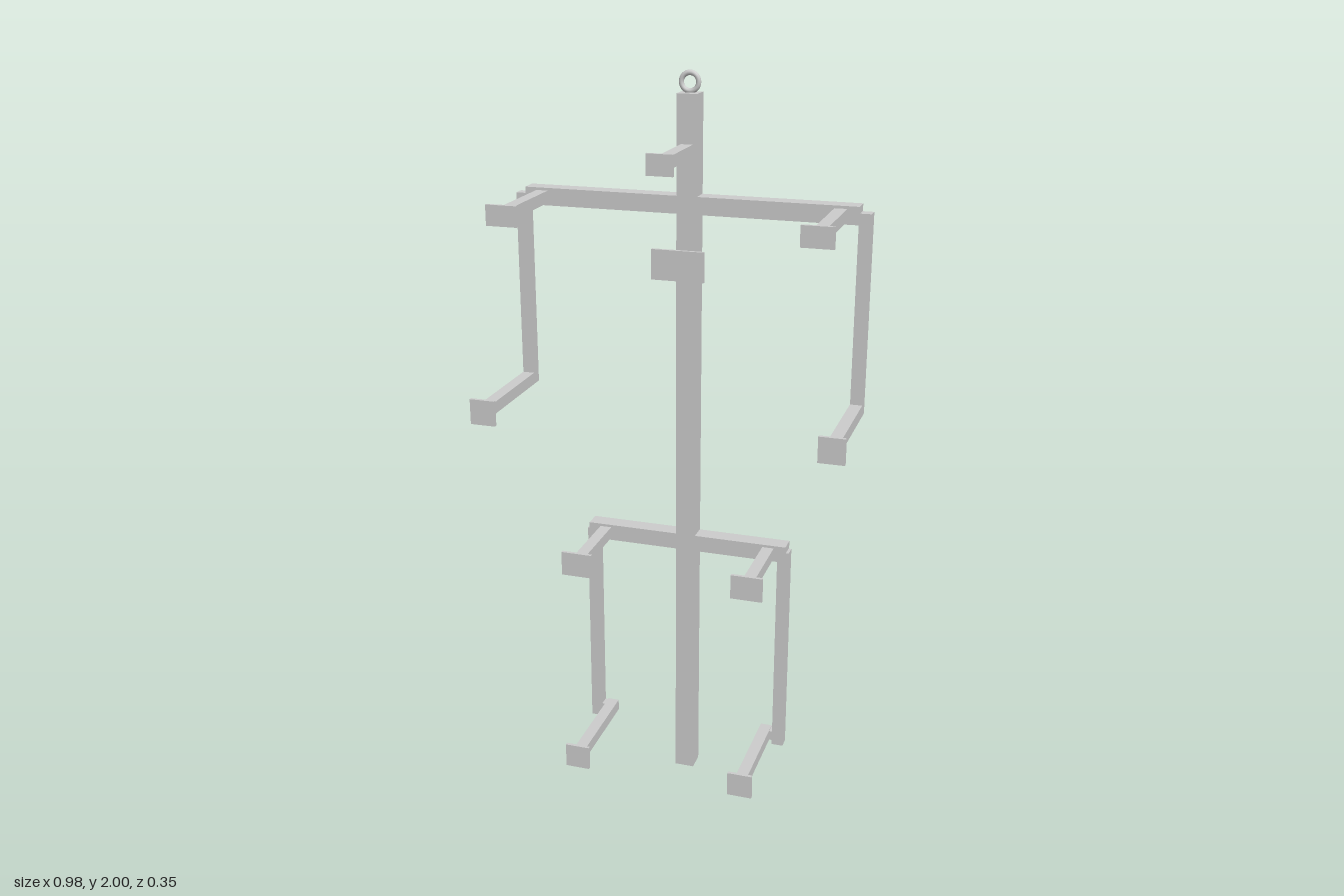
import * as THREE from 'three';

export function createModel() {
  const model = new THREE.Group();
  model.name = 'displayStand';
  const steel = new THREE.MeshStandardMaterial({ color: 0xcccccc });
  steel.name = 'light grey steel';

  const Z = -0.149; // plane of the frame
  const T = 0.032;  // thin tube width

  // Box given by its min and max on each axis
  function bar(name, [x0, x1], [y0, y1], [z0, z1]) {
    const mesh = new THREE.Mesh(new THREE.BoxGeometry(x1 - x0, y1 - y0, z1 - z0), steel);
    mesh.position.set((x0 + x1) / 2, (y0 + y1) / 2, (z0 + z1) / 2);
    mesh.name = name;
    model.add(mesh);
  }
  const around = (c, size) => [c - size / 2, c + size / 2];

  // Forward peg ending in a flat pad
  function peg(name, x, y, back, front, padW, padH) {
    bar(name + 'Peg', around(x, T), around(y, T), [back, front]);
    bar(name + 'Pad', around(x, padW), around(y, padH), [front, front + 0.009]);
  }

  // Central post and hanging ring
  bar('post', around(0, 0.054), [0, 1.945], around(Z, 0.054));
  const ring = new THREE.Mesh(new THREE.TorusGeometry(0.0225, 0.0068, 10, 32), steel);
  ring.position.set(0, 1.971, Z);
  ring.name = 'hangingRing';
  model.add(ring);

  // Cross bars
  bar('shoulderBar', around(0, 0.888), around(1.667, 0.046), around(Z, 0.047));
  bar('hipBar', around(0, 0.57), around(0.725, 0.046), around(Z, 0.047));

  // Head and chest supports
  peg('head', 0, 1.805, Z, 0.091, 0.068, 0.053);
  peg('chest', 0, 1.528, Z, -0.053, 0.139, 0.079);

  // Arms and legs, mirrored
  for (const s of [1, -1]) {
    const side = s > 0 ? 'left' : 'right';
    peg(side + 'Shoulder', s * 0.397, 1.667, Z, 0.132, 0.082, 0.053);
    bar(side + 'Arm', around(s * 0.458, T), [1.16, 1.672], around(Z, T));
    peg(side + 'Hand', s * 0.458, 1.159, Z - T / 2, 0.166, 0.068, 0.068);

    peg(side + 'Hip', s * 0.236, 0.725, Z, 0.097, 0.085, 0.067);
    bar(side + 'Leg', around(s * 0.277, T), [0.116, 0.728], around(Z, T));
    bar(side + 'FootWeld', around(s * 0.257, 0.014), around(0.142, 0.028), around(Z, 0.028));
    peg(side + 'Foot', s * 0.236, 0.142, Z - T / 2, 0.128, 0.068, 0.068);
  }
  return model;
}
